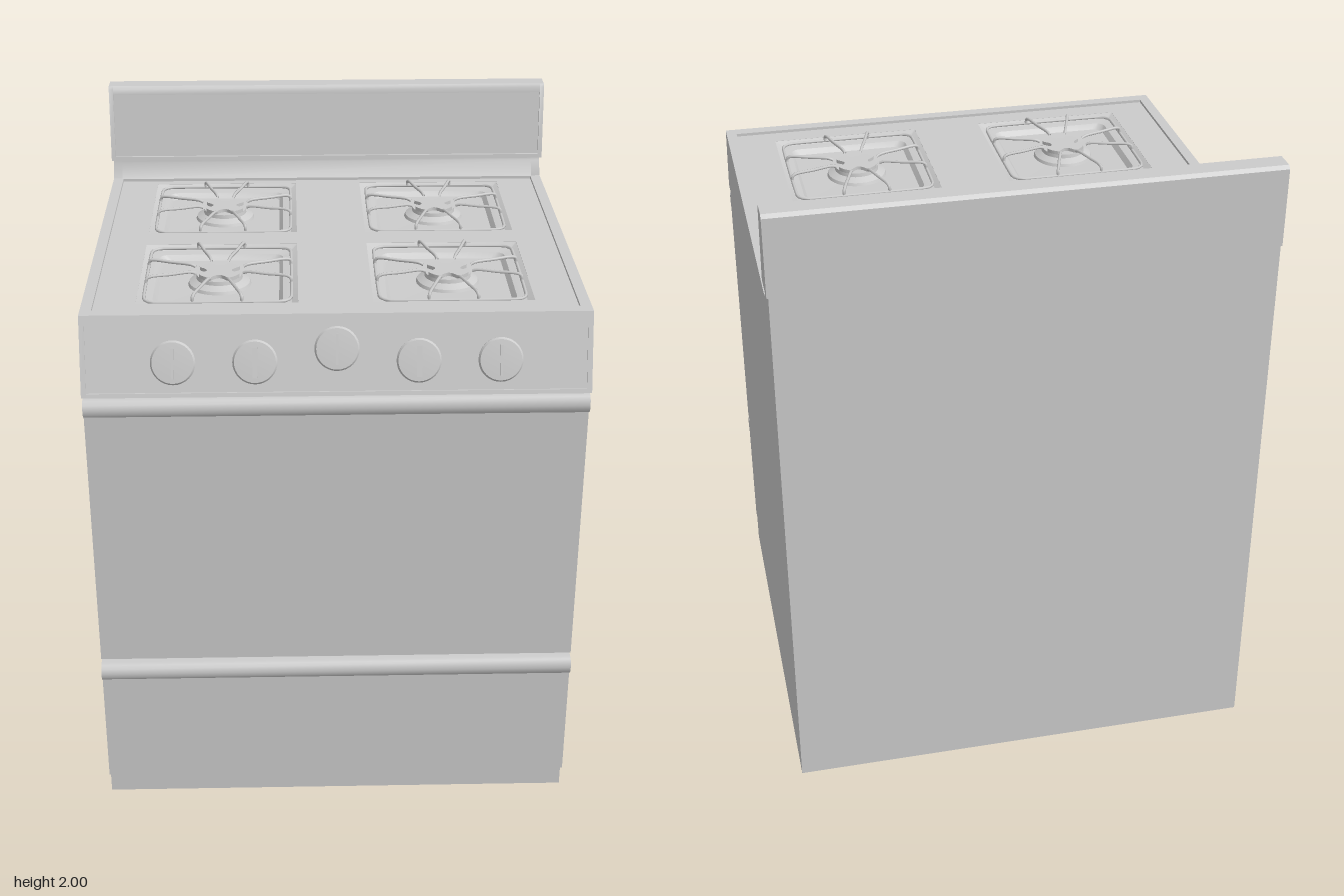
import * as THREE from 'three';
import { toCreasedNormals } from 'three/addons/utils/BufferGeometryUtils.js';

const mat = new THREE.MeshStandardMaterial({ color: 0xcccccc, side: THREE.DoubleSide });

function add(parent, name, geo) {
  const m = new THREE.Mesh(geo, mat);
  m.name = name;
  parent.add(m);
  return m;
}

// Side outline of [z, y] points, extruded across x from x0 to x1
function profile(pts, x0, x1) {
  const s = new THREE.Shape(pts.map(p => new THREE.Vector2(p[0], p[1])));
  const g = new THREE.ExtrudeGeometry(s, { depth: x1 - x0, bevelEnabled: false });
  g.rotateY(-Math.PI / 2).translate(x1, 0, 0);
  return toCreasedNormals(g, 0.7);
}

function rect(C, x0, x1, z0, z1) {
  const s = new C();
  s.moveTo(x0, -z1).lineTo(x1, -z1).lineTo(x1, -z0).lineTo(x0, -z0).closePath();
  return s;
}

// Flat plan shape extruded upwards from y0 to y1
function slab(shape, y0, y1) {
  const g = new THREE.ExtrudeGeometry(shape, { depth: y1 - y0, bevelEnabled: false, curveSegments: 8 });
  return g.rotateX(-Math.PI / 2).translate(0, y0, 0);
}

// Rounded square in the xz plane, counterclockwise from above
function roundedSquare(half, r, y, n = 6) {
  const pts = [];
  for (let c = 0; c < 4; c++) {
    const mid = Math.PI / 4 + c * Math.PI / 2;
    const cx = Math.sign(Math.cos(mid)) * (half - r), cz = Math.sign(Math.sin(mid)) * (half - r);
    for (let i = 0; i <= n; i++) {
      const a = c * Math.PI / 2 + (i / n) * Math.PI / 2;
      pts.push(new THREE.Vector3(cx + r * Math.cos(a), y, -(cz + r * Math.sin(a))));
    }
  }
  return pts;
}

// Skin joining a list of rings
function loft(rings) {
  const n = rings[0].length, idx = [];
  for (let k = 0; k < rings.length - 1; k++)
    for (let i = 0; i < n; i++) {
      const j = (i + 1) % n, a = k * n + i, b = k * n + j, c = a + n, d = b + n;
      idx.push(a, b, c, b, d, c);
    }
  const g = new THREE.BufferGeometry().setFromPoints(rings.flat());
  g.setIndex(idx);
  return toCreasedNormals(g, 0.5);
}

// Front panel with a rolled handle along its top edge
const frontPanel = (y0, y1) => [
  [0.62, y0], [0.655, y0], [0.655, y1 - 0.056], [0.667, y1 - 0.053], [0.674, y1 - 0.042],
  [0.676, y1 - 0.028], [0.673, y1 - 0.013], [0.664, y1 - 0.003], [0.652, y1], [0.62, y1],
];

// Four-lobed burner cap
function capShape() {
  const pts = [];
  for (let i = 0; i < 80; i++) {
    const a = (i / 80) * Math.PI * 2;
    const d = Math.abs(a - Math.round(a / (Math.PI / 2)) * Math.PI / 2) / 0.4;
    const r = d < 1 ? 0.068 - 0.03 * Math.sqrt(1 - d * d) : 0.068;
    pts.push(new THREE.Vector2(r * Math.cos(a), r * Math.sin(a)));
  }
  return new THREE.Shape(pts);
}

function createBurner() {
  const g = new THREE.Group();
  g.name = 'burner';
  add(g, 'well', loft([
    roundedSquare(0.237, 0.002, 1.681), roundedSquare(0.218, 0.006, 1.668),
    roundedSquare(0.216, 0.03, 1.668), roundedSquare(0.192, 0.03, 1.664),
    roundedSquare(0.18, 0.03, 1.648), roundedSquare(0.001, 0.0005, 1.644),
  ]));
  const base = [[0.096, 1.645], [0.092, 1.655], [0.076, 1.663], [0.07, 1.666], [0.068, 1.678], [0, 1.678]];
  add(g, 'burnerBase', toCreasedNormals(
    new THREE.LatheGeometry(base.map(p => new THREE.Vector2(...p)), 32), 0.6));
  add(g, 'burnerCap', toCreasedNormals(slab(capShape(), 1.677, 1.689), 0.6));

  // Wire grate: frame and eight bent arms
  const loop = new THREE.CatmullRomCurve3(roundedSquare(0.216, 0.035, 1.676), true, 'centripetal');
  add(g, 'grateFrame', new THREE.TubeGeometry(loop, 96, 0.005, 6, true));
  const arm = new THREE.CatmullRomCurve3([
    [0.072, 1.676, 0.216], [0.072, 1.69, 0.216], [0.069, 1.696, 0.207],
    [0.05, 1.696, 0.145], [0.03, 1.695, 0.085], [0.026, 1.69, 0.072],
  ].map(p => new THREE.Vector3(...p)), false, 'centripetal');
  const armGeo = new THREE.TubeGeometry(arm, 20, 0.005, 6);
  const mirrored = new THREE.TubeGeometry(new THREE.CatmullRomCurve3(
    arm.points.map(p => new THREE.Vector3(-p.x, p.y, p.z)), false, 'centripetal'), 20, 0.005, 6);
  for (let i = 0; i < 4; i++)
    for (const geo of [armGeo, mirrored]) add(g, 'grateArm', geo).rotation.y = i * Math.PI / 2;
  return g;
}

function createKnob(gripWidth) {
  const g = new THREE.Group();
  g.name = 'knob';
  const pts = [[0, 0], [0.064, 0], [0.065, 0.008], [0.06, 0.015], [0, 0.018]];
  const disc = new THREE.LatheGeometry(pts.map(p => new THREE.Vector2(...p)), 32).rotateX(Math.PI / 2);
  add(g, 'knobDisc', toCreasedNormals(disc, 0.6));
  add(g, 'knobGrip', new THREE.BoxGeometry(gripWidth, 0.09, 0.018)).position.z = 0.018;
  return g;
}

export function createModel() {
  const model = new THREE.Group();
  model.name = 'stove';
  const W = 0.735;

  // Cabinet with the neck below the backsplash
  add(model, 'cabinet', profile([[-0.69, 0], [0.62, 0], [0.62, 1.63], [-0.568, 1.63],
    [-0.568, 1.69], [-0.6, 1.735], [-0.6, 1.755], [-0.69, 1.755]], -W, W));
  add(model, 'neckPanel', profile([[-0.57, 1.685], [-0.562, 1.69], [-0.594, 1.738],
    [-0.594, 1.752], [-0.61, 1.752]], -0.705, 0.705));
  add(model, 'drawer', profile(frontPanel(0.09, 0.525), -W, W));
  add(model, 'door', profile(frontPanel(0.54, 1.443), -W, W));

  // Control panel: inset face between full-depth ends
  add(model, 'controlPanel', profile([[0.615, 1.46], [0.685, 1.46], [0.6816, 1.472],
    [0.6776, 1.472], [0.6222, 1.668], [0.6262, 1.668], [0.62, 1.69], [0.615, 1.69]], -0.72, 0.72));
  for (const s of [-1, 1])
    add(model, 'controlPanelEnd', profile([[0.615, 1.46], [0.685, 1.46], [0.62, 1.69],
      [0.615, 1.69]], s < 0 ? -W : 0.72, s < 0 ? -0.72 : W));

  // Knobs on the sloping panel
  [-0.47, -0.235, 0, 0.235, 0.47].forEach((x, i) => {
    const knob = createKnob(i % 2 ? 0.015 : 0.007);
    const y = i === 2 ? 1.592 : 1.557;
    knob.position.set(x, y, 0.681 - (y - 1.46) * 0.2826);
    knob.rotation.x = -0.275;
    model.add(knob);
  });

  // Cooktop deck with four openings, and its raised rim
  const centres = [-0.345, 0.345].flatMap(x => [-0.295, 0.28].map(z => [x, z]));
  const deck = rect(THREE.Shape, -W, W, -0.568, 0.62);
  for (const [x, z] of centres)
    deck.holes.push(rect(THREE.Path, x - 0.236, x + 0.236, z - 0.236, z + 0.236));
  add(model, 'cooktop', slab(deck, 1.63, 1.681));
  const rim = rect(THREE.Shape, -W, W, -0.568, 0.62);
  rim.holes.push(rect(THREE.Path, -0.702, 0.702, -0.562, 0.582));
  add(model, 'cooktopRim', slab(rim, 1.681, 1.69));
  for (const [x, z] of centres) {
    const b = createBurner();
    b.position.set(x, 0, z);
    model.add(b);
  }

  // Backsplash: recessed face between full-depth ends
  const top = [[-0.611, 1.99], [-0.62, 2], [-0.68, 2], [-0.69, 1.99]];
  add(model, 'backsplash', profile([[-0.69, 1.75], [-0.578, 1.75], [-0.5796, 1.763],
    [-0.5886, 1.763], [-0.6185, 1.972], [-0.6095, 1.972], ...top], -0.726, 0.726));
  for (const s of [-1, 1])
    add(model, 'backsplashEnd', profile([[-0.69, 1.75], [-0.578, 1.75], ...top],
      s < 0 ? -0.74 : 0.726, s < 0 ? -0.726 : 0.74));
  return model;
}
